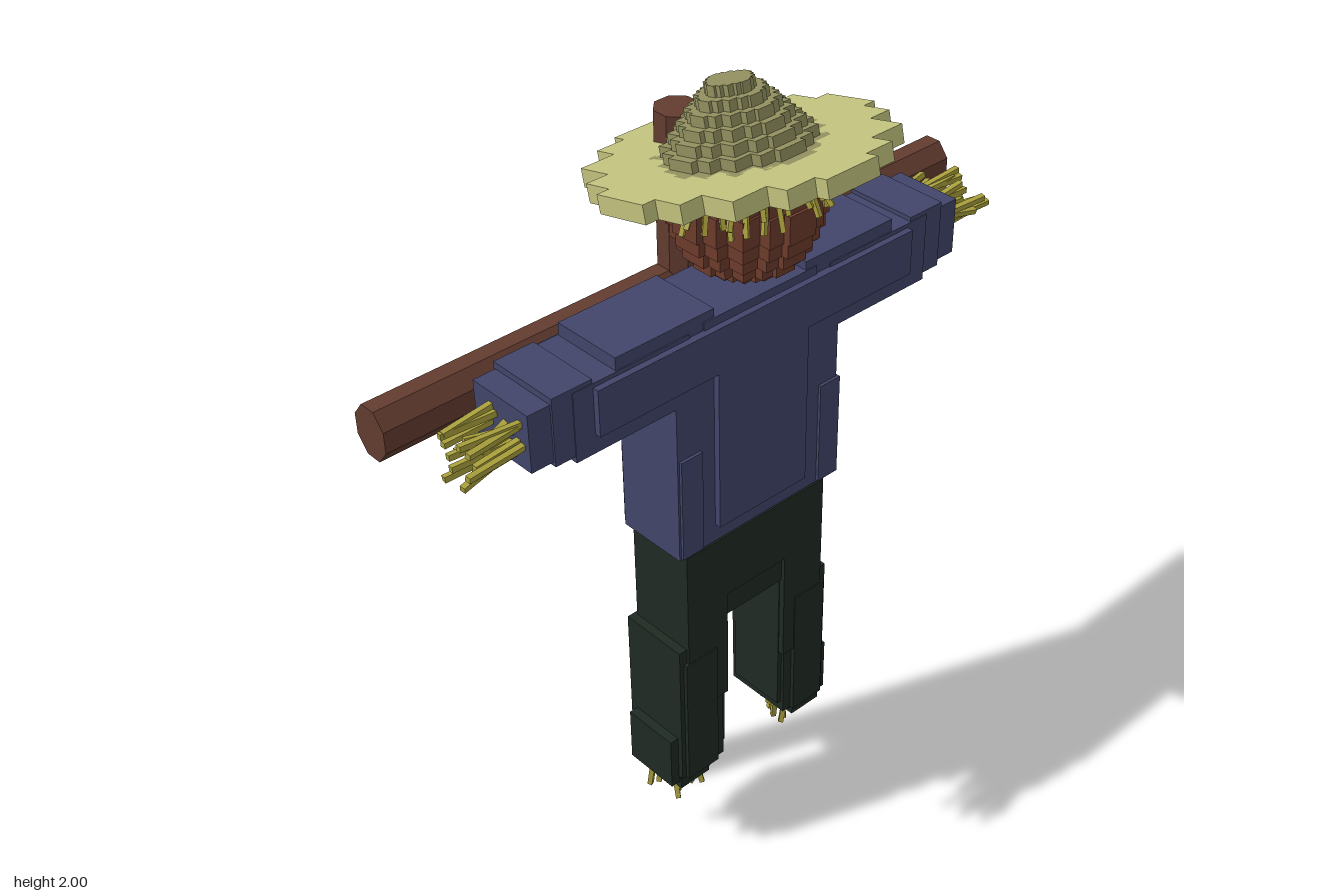
import * as THREE from 'three';

const mat = (color) => new THREE.MeshStandardMaterial({ color, flatShading: true });
const WOOD = mat(0x633c30), SACK = mat(0x6e3b2c), SHIRT = mat(0x42456a), PANTS = mat(0x1f2a23);
const BRIM = mat(0xc2c27e), CROWN = mat(0x92905f), STRAW = mat(0xa9a03c);

let seed = 7;
const rand = (a, b) => {
  seed = (seed * 16807) % 2147483647;
  return a + (b - a) * (seed / 2147483647);
};

function group(name, parent) {
  const g = new THREE.Group();
  g.name = name;
  parent.add(g);
  return g;
}

function add(parent, name, geometry, material) {
  const m = new THREE.Mesh(geometry, material);
  m.name = name;
  parent.add(m);
  return m;
}

// Box given by its extents
function block(parent, name, material, x0, x1, y0, y1, z0, z1) {
  const m = add(parent, name, new THREE.BoxGeometry(x1 - x0, y1 - y0, z1 - z0), material);
  m.position.set((x0 + x1) / 2, (y0 + y1) / 2, (z0 + z1) / 2);
  return m;
}

// Blocky circle outline, mirrored from one stepped quarter
const QUARTER = [[1, 0.22], [0.9, 0.22], [0.9, 0.45], [0.725, 0.45], [0.725, 0.725],
  [0.45, 0.725], [0.45, 0.9], [0.22, 0.9], [0.22, 1]];
function outline(r) {
  const back = [...QUARTER].reverse();
  const pts = [
    ...QUARTER,
    ...back.map(([x, y]) => [-x, y]),
    ...QUARTER.map(([x, y]) => [-x, -y]),
    ...back.map(([x, y]) => [x, -y]),
  ];
  return pts.map(([x, y]) => new THREE.Vector2(x * r, y * r));
}

// Horizontal stepped disc from y0 to y1, optionally with a hole
function disc(parent, name, material, r, y0, y1, hole = 0) {
  const shape = new THREE.Shape(outline(r));
  if (hole) shape.holes.push(new THREE.Path(outline(hole)));
  const geo = new THREE.ExtrudeGeometry(shape, { depth: y1 - y0, bevelEnabled: false });
  geo.rotateX(-Math.PI / 2);
  geo.translate(0, y0, 0);
  return add(parent, name, geo, material);
}

// Thin straw between two points
function straw(parent, a, b, w = 0.012) {
  const dir = b.clone().sub(a);
  const m = add(parent, 'straw', new THREE.BoxGeometry(w, dir.length(), w), STRAW);
  m.position.copy(a).add(b).multiplyScalar(0.5);
  m.quaternion.setFromUnitVectors(new THREE.Vector3(0, 1, 0), dir.normalize());
}

// Eight-sided timber, flat to flat 2 * half
function timber(parent, name, half, length) {
  const r = half / Math.cos(Math.PI / 8);
  const geo = new THREE.CylinderGeometry(r, r, length, 8);
  geo.rotateY(Math.PI / 8);
  return add(parent, name, geo, WOOD);
}

export function createModel() {
  const root = new THREE.Group();
  root.name = 'scarecrow';

  // Post and crossbar
  const frame = group('frame', root);
  timber(frame, 'post', 0.047, 1.88).position.set(-0.002, 0.94, -0.183);
  const bar = timber(frame, 'crossbar', 0.047, 1.6);
  bar.rotation.z = Math.PI / 2;
  bar.scale.x = 1.25;
  bar.position.set(0, 1.465, -0.185);

  // Shirt body
  const shirt = group('shirt', root);
  block(shirt, 'torso', SHIRT, -0.24, 0.23, 0.975, 1.53, -0.115, 0.065);
  block(shirt, 'hem', SHIRT, -0.19, 0.2, 0.94, 1.0, -0.11, 0.06);
  block(shirt, 'chestPanel', SHIRT, -0.135, 0.125, 1.02, 1.53, -0.13, 0.08);
  block(shirt, 'shoulderPanel', SHIRT, -0.45, 0.44, 1.42, 1.53, -0.13, 0.08);
  block(shirt, 'collar', SHIRT, -0.16, 0.16, 1.5, 1.55, -0.115, 0.065);
  for (const s of [-1, 1]) {
    const side = (name, a, b, ...rest) =>
      block(shirt, name, SHIRT, Math.min(s * a, s * b), Math.max(s * a, s * b), ...rest);
    side('sleeve', 0.2, 0.5, 1.375, 1.54, -0.115, 0.065);
    side('lowerSleeve', 0.45, 0.55, 1.39, 1.55, -0.115, 0.063);
    side('cuff', 0.52, 0.605, 1.4, 1.535, -0.11, 0.058);
    side('shoulderPatch', 0.13, 0.39, 1.5, 1.57, -0.112, 0.062);
    side('sidePatch', 0.175, 0.235, 0.98, 1.24, -0.122, 0.072);
  }

  // Trousers, with stepped legs
  const trousers = group('trousers', root);
  block(trousers, 'hips', PANTS, -0.22, 0.2, 0.8, 0.97, -0.112, 0.065);
  block(trousers, 'crotch', PANTS, -0.12, 0.1, 0.73, 0.82, -0.105, 0.055);
  for (const s of [-1, 1]) {
    const leg = group(s > 0 ? 'leftLeg' : 'rightLeg', trousers);
    leg.position.x = -0.01;
    const part = (name, a, b, ...rest) =>
      block(leg, name, PANTS, Math.min(s * a, s * b), Math.max(s * a, s * b), ...rest);
    part('thigh', 0.09, 0.21, 0.5, 0.85, -0.112, 0.065);
    part('shin', 0.1, 0.232, 0.3, 0.7, -0.12, 0.058);
    part('innerShin', 0.088, 0.15, 0.33, 0.72, -0.1, 0.05);
    part('ankle', 0.13, 0.255, 0.28, 0.425, -0.1, 0.045);
    part('legFront', 0.125, 0.22, 0.3, 0.66, -0.116, 0.068);
    part('legEnd', 0.14, 0.23, 0.26, 0.32, -0.1, 0.05);
  }

  // Sack head, stacked as a blocky ball
  const head = group('head', root);
  head.position.set(0, 1.755, 0.015);
  const layers = 10, R = 0.16, step = (2 * R) / layers;
  for (let i = 0; i < layers; i++) {
    const y = -R + i * step;
    const mid = y + step / 2;
    disc(head, 'headLayer', SACK, Math.sqrt(R * R - mid * mid) * 1.03, y, y + step);
  }

  // Tilted straw hat
  const hat = group('hat', root);
  hat.position.set(0.004, 1.837, 0);
  hat.rotation.x = -0.23;
  disc(hat, 'brim', BRIM, 0.312, -0.02, 0.02, 0.17);
  [0.18, 0.155, 0.135, 0.115, 0.095, 0.073, 0.05].forEach((r, i) =>
    disc(hat, 'crownLayer', CROWN, r, i * 0.023 - 0.003, i * 0.023 + 0.02));

  // Straw hair under the brim
  const hair = group('hair', root);
  for (let i = 0; i < 26; i++) {
    const a = -1.65 + (3.3 * i) / 25 + rand(-0.06, 0.06);
    const r = rand(0.13, 0.16), out = r + rand(0.02, 0.05), drop = rand(0.06, 0.11);
    const y = 1.835 + 0.04 * Math.cos(a);
    straw(hair,
      new THREE.Vector3(Math.sin(a) * r, y, Math.cos(a) * r + 0.01),
      new THREE.Vector3(Math.sin(a) * out + rand(-0.02, 0.02), y - drop, Math.cos(a) * out + 0.015), 0.01);
  }

  // Straw hands and feet
  for (const s of [-1, 1]) {
    const hand = group(s > 0 ? 'leftHand' : 'rightHand', root);
    for (let i = 0; i < 18; i++) {
      const y = rand(1.425, 1.515), z = rand(-0.08, 0.035);
      straw(hand,
        new THREE.Vector3(s * 0.57, y, z),
        new THREE.Vector3(s * rand(0.67, 0.75), y + rand(-0.025, 0.025), z + rand(-0.03, 0.03)), 0.013);
    }
    const foot = group(s > 0 ? 'leftFoot' : 'rightFoot', root);
    for (let i = 0; i < 14; i++) {
      const x = s * 0.187 - 0.005 + rand(-0.04, 0.04), z = -0.02 + rand(-0.035, 0.035);
      straw(foot,
        new THREE.Vector3(x, 0.29, z),
        new THREE.Vector3(x + rand(-0.02, 0.02), rand(0.18, 0.22), z + rand(-0.03, 0.03)));
    }
  }
  return root;
}
